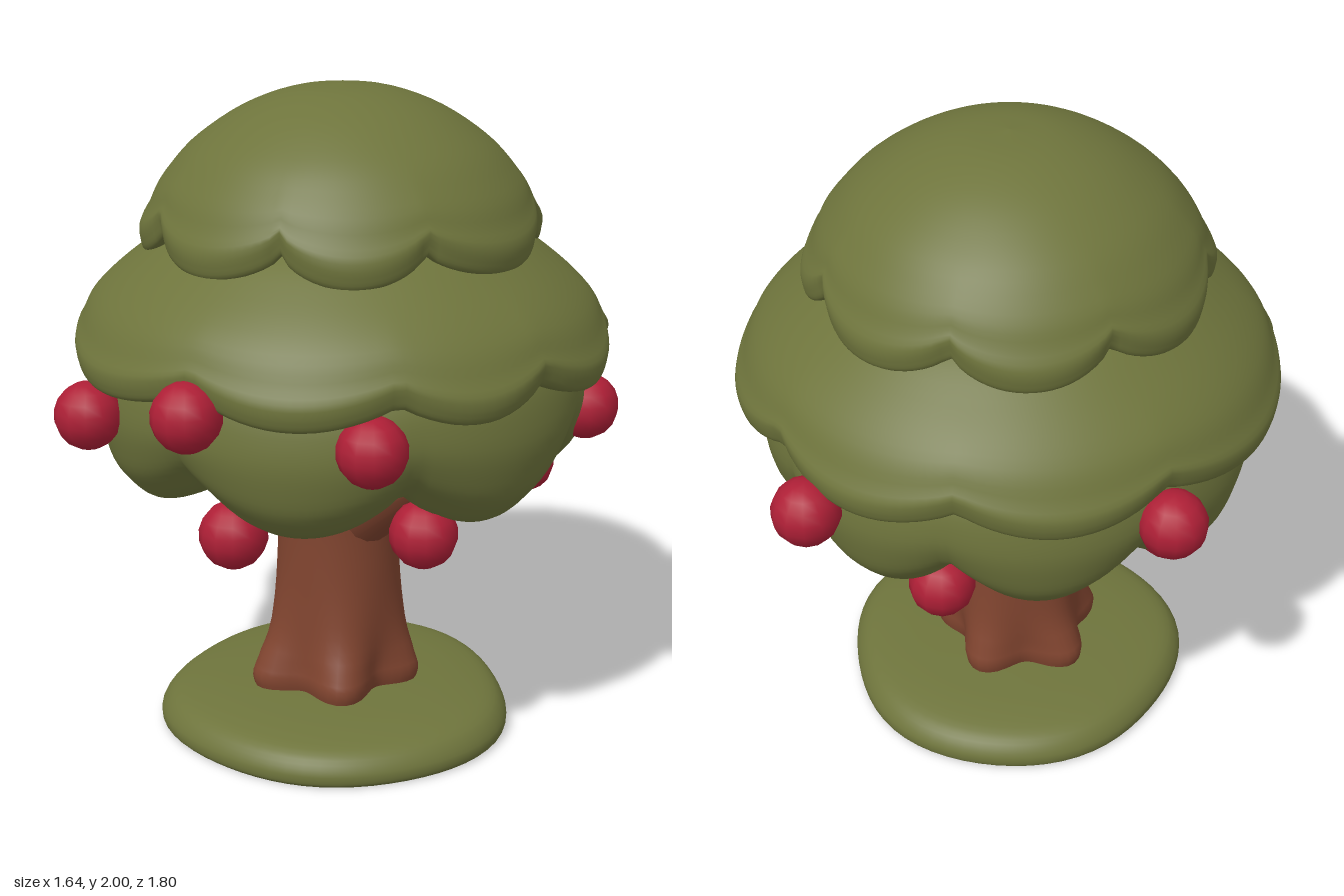
import * as THREE from 'three';

const V = (x, y, z) => new THREE.Vector3(x, y, z);
const DEG = Math.PI / 180;

// Closed ring surface: rows run from top to bottom, place(row, angle) gives each point
function loft(rows, segs, place) {
  const pos = [], idx = [];
  rows.forEach((row) => {
    for (let j = 0; j < segs; j++) pos.push(...place(row, (j / segs) * Math.PI * 2));
  });
  for (let i = 0; i < rows.length - 1; i++) {
    for (let j = 0; j < segs; j++) {
      const k = (j + 1) % segs;
      const a = i * segs + j, c = i * segs + k, b = a + segs, d = c + segs;
      idx.push(a, c, b, c, d, b);
    }
  }
  const g = new THREE.BufferGeometry();
  g.setAttribute('position', new THREE.Float32BufferAttribute(pos, 3));
  g.setIndex(idx);
  g.computeVertexNormals();
  return g;
}

// Smooth profile through [radius, height, weight] points
const smooth = (pts, n) =>
  new THREE.CatmullRomCurve3(pts.map((p) => V(...p)), false, 'centripetal').getPoints(n);

// 0 at each cusp angle, 1 in the middle of each lobe
function scallop(angle, cusps, power) {
  const deg = angle / DEG;
  for (let i = 0; i < cusps.length; i++) {
    const start = cusps[i];
    const end = i + 1 < cusps.length ? cusps[i + 1] : cusps[0] + 360;
    const d = (deg - start + 720) % 360;
    if (d < end - start) return Math.pow(Math.sin((Math.PI * d) / (end - start)), power);
  }
  return 1;
}

// Leaf layer with a scalloped rim: the rim rises and draws inward at the cusps
function leafLayer(pts, cusps, rise, notch, power) {
  return loft(smooth(pts, 44), 144, (p, a) => {
    const k = p.z * (1 - scallop(a, cusps, power));
    const r = Math.max(0.001, p.x * (1 - notch * k));
    return [r * Math.cos(a), p.y + rise * k, r * Math.sin(a)];
  });
}

export function createModel() {
  const tree = new THREE.Group();
  tree.name = 'appleTree';
  const material = (name, color) => {
    const m = new THREE.MeshStandardMaterial({ color });
    m.name = name;
    return m;
  };
  const green = material('leafGreen', 0x6e743c);
  const brown = material('barkBrown', 0x80442f);
  const red = material('appleRed', 0xae1f36);
  const add = (name, geometry, mat, parent = tree) => {
    const m = new THREE.Mesh(geometry, mat);
    m.name = name;
    parent.add(m);
    return m;
  };

  // Grassy mound with a flat underside
  const moundPoint = (p, a) => {
    const r = p.x * (1 + 0.018 * Math.sin(3 * a + 0.6) + 0.012 * Math.cos(5 * a));
    return [r * Math.cos(a), p.y, 0.035 + r * Math.sin(a)];
  };
  const moundTop = smooth([[0.001, 0.14, 0], [0.25, 0.13, 0], [0.42, 0.115, 0], [0.51, 0.09, 0],
    [0.545, 0.045, 0], [0.545, 0.012, 0], [0.535, 0, 0]], 24);
  add('mound', loft(moundTop, 64, moundPoint), green);
  add('moundUnderside', loft([V(0.535, 0, 0), V(0.001, 0, 0)], 64, moundPoint), green);

  // Trunk flaring into five roots
  const trunkRows = smooth([[0.22, 0.98, 0], [0.2, 0.85, 0], [0.187, 0.7, 0], [0.193, 0.5, 0.03],
    [0.207, 0.33, 0.25], [0.228, 0.21, 0.8], [0.235, 0.15, 1], [0.22, 0.1, 1]], 26);
  add('trunk', loft(trunkRows, 60, (p, a) => {
    const r = p.x + 0.038 * p.z * Math.cos(5 * (a - 55 * DEG));
    return [r * Math.cos(a) - 0.005 - 0.01 * p.z, p.y, r * Math.sin(a) + 0.02 + 0.015 * p.z];
  }), brown);

  // Branches reaching into the leaves
  const branches = new THREE.Group();
  branches.name = 'branches';
  tree.add(branches);
  for (const [x, z, y] of [[0.42, 0.2, 0.93], [-0.4, -0.28, 0.95], [0.25, -0.42, 0.95],
    [-0.3, 0.25, 1.0]]) {
    const from = V(x * 0.15, 0.68, z * 0.15 + 0.015);
    const dir = V(x, y, z).sub(from);
    const g = new THREE.CylinderGeometry(0.045, 0.12, dir.length(), 16, 1);
    const b = add('branch', g, brown, branches);
    b.position.copy(from).addScaledVector(dir, 0.5);
    b.quaternion.setFromUnitVectors(V(0, 1, 0), dir.normalize());
  }

  // Lower leaf layer with a hollow underside
  add('lowerLeaves', leafLayer([[0.3, 1.5, 0], [0.58, 1.4, 0], [0.7, 1.25, 0], [0.745, 1.1, 0.2],
    [0.735, 0.97, 0.5], [0.69, 0.87, 0.85], [0.61, 0.805, 1], [0.52, 0.805, 1], [0.43, 0.86, 0.7],
    [0.3, 0.92, 0.2], [0.001, 0.94, 0]], [46, 103, 160, 208, 256, 300, 352], 0.12, 0.07, 0.8), green);

  // Middle leaf layer
  add('middleLeaves', leafLayer([[0.3, 1.66, 0], [0.5, 1.585, 0], [0.63, 1.495, 0], [0.735, 1.4, 0.2],
    [0.795, 1.3, 0.6], [0.82, 1.22, 1], [0.805, 1.182, 1], [0.765, 1.175, 1], [0.7, 1.23, 0.8],
    [0.6, 1.28, 0.2], [0.4, 1.32, 0]], [17, 51, 94, 150, 208, 252, 296, 340], 0.065, 0.04, 0.85), green);

  // Top leaf dome
  add('topLeaves', leafLayer([[0.001, 2, 0], [0.15, 1.985, 0], [0.3, 1.93, 0], [0.435, 1.84, 0],
    [0.525, 1.74, 0.15], [0.575, 1.65, 0.5], [0.604, 1.56, 1], [0.592, 1.52, 1], [0.55, 1.52, 1],
    [0.49, 1.58, 0.7], [0.3, 1.6, 0]], [38, 80, 129, 163, 212, 258, 308, 340], 0.085, 0.07, 0.65), green);

  // Apples around and below the leaves
  const apples = new THREE.Group();
  apples.name = 'apples';
  tree.add(apples);
  const appleShape = new THREE.SphereGeometry(0.101, 12, 9);
  for (const p of [[-0.06, 1.19, 0.8], [-0.49, 1.09, 0.65], [0.42, 1.115, 0.63], [-0.7, 1.1, -0.33],
    [0.695, 1.04, -0.26], [0.21, 1.125, -0.8], [-0.535, 0.765, 0.03], [-0.047, 0.778, 0.585],
    [0.435, 0.778, 0.33], [0.44, 0.78, -0.4], [-0.03, 0.71, -0.475]]) {
    add('apple', appleShape, red, apples).position.set(...p);
  }
  return tree;
}
